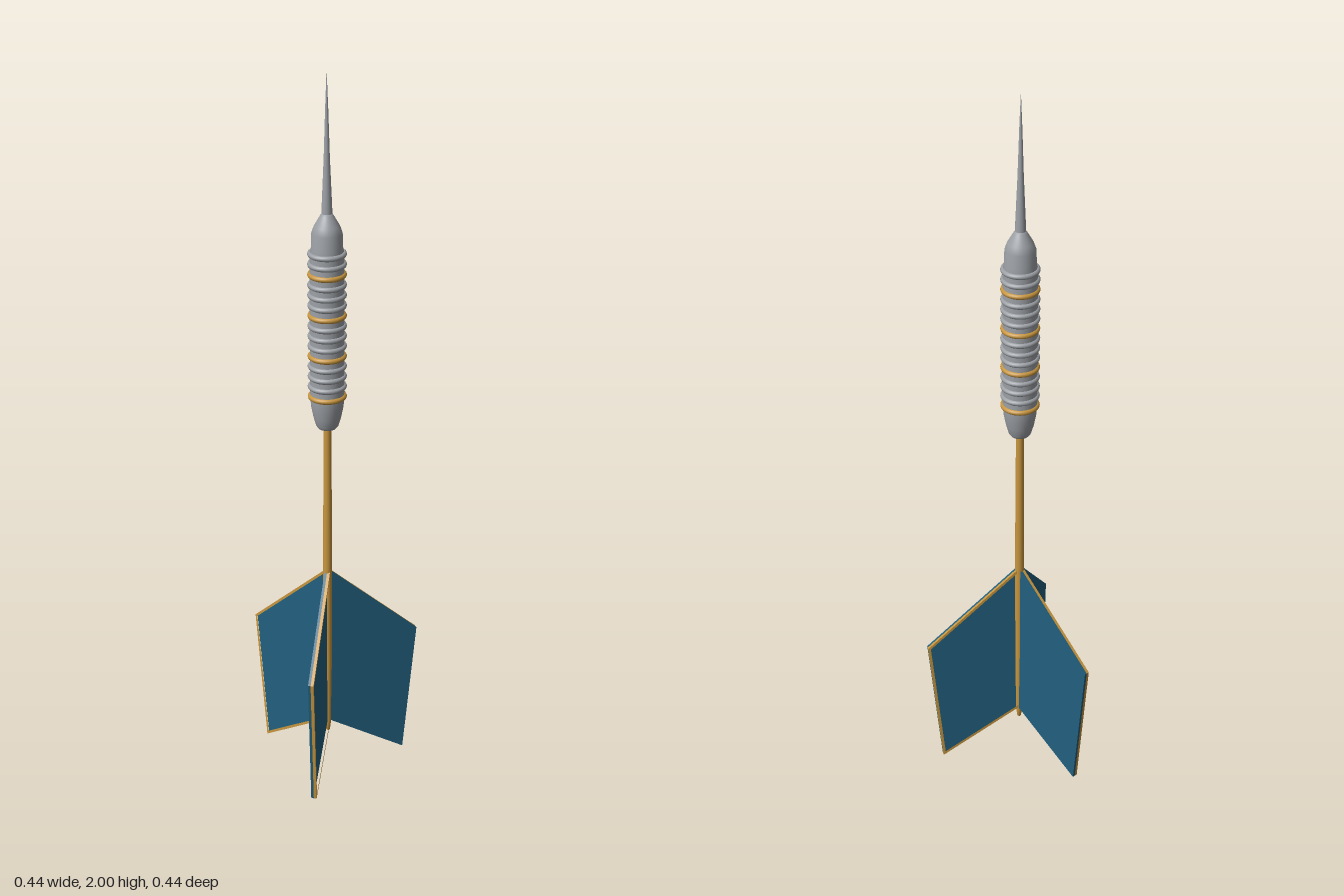
import * as THREE from 'three';

const mat = (name, color, extra = {}) => {
  const m = new THREE.MeshStandardMaterial({ color, ...extra });
  m.name = name;
  return m;
};

export function createModel() {
  const steel = mat('steel', 0x9da1a6);
  const gold = mat('gold', 0xc8963e);
  const blue = mat('blue', 0x22607f);

  const dart = new THREE.Group();
  dart.name = 'dart';
  dart.position.set(-0.036, 0, -0.035);

  const add = (parent, name, geometry, material, y = 0) => {
    const mesh = new THREE.Mesh(geometry, material);
    mesh.name = name;
    mesh.position.y = y;
    parent.add(mesh);
    return mesh;
  };
  const lathe = (points, sides = 32) =>
    new THREE.LatheGeometry(points.map(([r, y]) => new THREE.Vector2(r, y)), sides);

  // Needle point
  add(dart, 'point', lathe([[0.015, 1.6], [0.014, 1.63], [0.008, 1.77], [0.004, 1.9], [0, 2]], 24), steel);

  // Barrel with tapered tail and nose
  add(dart, 'barrel', lathe([
    [0, 1.018], [0.024, 1.018], [0.03, 1.026], [0.037, 1.05], [0.043, 1.08], [0.046, 1.11],
    [0.046, 1.51], [0.042, 1.525], [0.041, 1.565], [0.034, 1.585], [0.018, 1.613], [0.012, 1.622], [0, 1.622],
  ]), steel);

  // Grip rings, every fourth one gold
  for (let i = 0; i < 15; i++) {
    const accent = i % 4 === 0 && i < 13;
    const ring = new THREE.TorusGeometry(0.0445, 0.0075, 10, 32).rotateX(Math.PI / 2);
    add(dart, accent ? 'accentRing' : 'gripRing', ring, accent ? gold : steel, 1.11 + i * 0.0285);
  }

  // Shaft, tapering to the tail end
  add(dart, 'shaft', lathe([
    [0, 0.097], [0.005, 0.097], [0.009, 0.125], [0.0115, 0.3], [0.0125, 0.62], [0.0105, 1.03],
  ], 20), gold);

  // Three flights: a blue panel with a gold rim on one face
  const outline = [[0, 0.6], [0.26, 0.375], [0.221, 0.004], [0, 0.132]].map(p => new THREE.Vector2(...p));
  const inner = [[0.004, 0.587], [0.253, 0.372], [0.2155, 0.0155], [0.004, 0.138]].map(p => new THREE.Vector2(...p));
  const panelShape = new THREE.Shape(outline);
  const rimShape = new THREE.Shape(outline);
  rimShape.holes.push(new THREE.Path(inner));
  const panelGeo = new THREE.ExtrudeGeometry(panelShape, { depth: 0.007, bevelEnabled: false });
  const rimGeo = new THREE.ExtrudeGeometry(rimShape, { depth: 0.008, bevelEnabled: false });
  for (let i = 0; i < 3; i++) {
    const flight = new THREE.Group();
    flight.name = 'flight';
    flight.rotation.y = THREE.MathUtils.degToRad(14 + i * 120);
    add(flight, 'flightPanel', panelGeo, blue);
    add(flight, 'flightRim', rimGeo, gold).position.z = -0.008;
    dart.add(flight);
  }

  const model = new THREE.Group();
  model.name = 'model';
  model.add(dart);
  return model;
}
